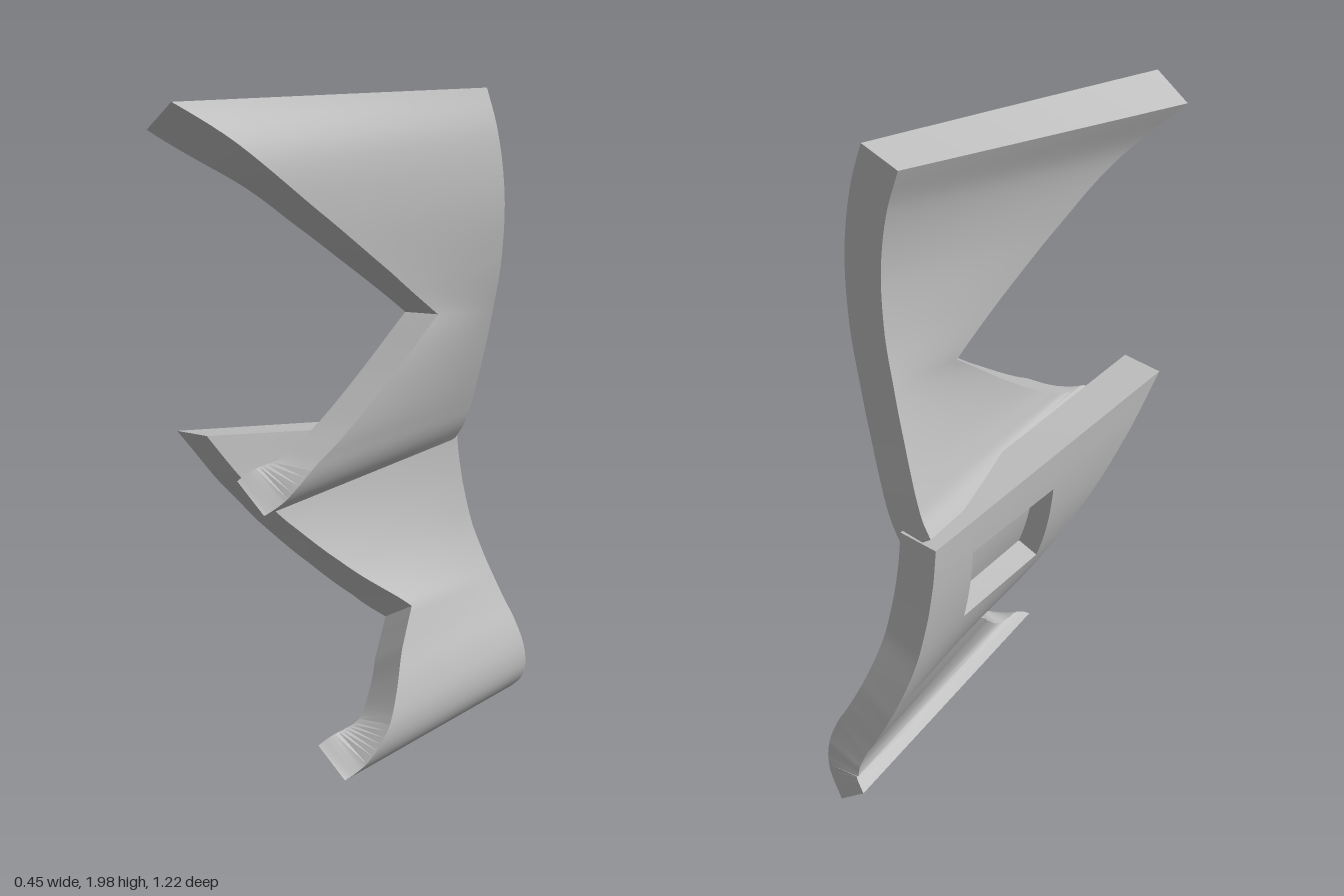
import * as THREE from 'three';
import { toCreasedNormals } from 'three/addons/utils/BufferGeometryUtils.js';

const HALF = 0.065;   // half the slab thickness
const ROWS = 50;      // steps from top to bottom
const COLS = 9;       // steps from back to front

// Centre line of one slab edge: smooth in x and y, straight runs in z so notches stay sharp
function edge(points) {
  const curve = new THREE.CatmullRomCurve3(points.map(p => new THREE.Vector3(...p)));
  return v => {
    const point = curve.getPoint(v);
    const s = v * (points.length - 1), k = Math.min(Math.floor(s), points.length - 2);
    point.z = THREE.MathUtils.lerp(points[k][2], points[k + 1][2], s - k);
    const t = curve.getTangent(v);
    return { point, normal: new THREE.Vector3(-t.y, t.x, 0).normalize() };
  };
}

// Thick twisted slab ruled between a back edge and a front edge, with an optional pocket on its -x face
function slab(name, material, backPoints, frontPoints, pocket) {
  const back = edge(backPoints), front = edge(frontPoints);
  const clamp = THREE.MathUtils.clamp;
  const grid = [];
  for (let j = 0; j <= ROWS; j++) {
    const b = back(j / ROWS), f = front(j / ROWS);
    const atZ = z => (z - b.point.z) / (f.point.z - b.point.z);
    const stops = pocket
      ? [0, clamp(atZ(pocket.z0), 0.05, 0.45), clamp(atZ(pocket.z1), 0.5, 0.9), 1]
      : [0, 1 / 3, 2 / 3, 1];
    const row = [];
    for (let i = 0; i <= COLS; i++) {
      const k = Math.min(Math.floor(i / 3), 2);
      const u = THREE.MathUtils.lerp(stops[k], stops[k + 1], i / 3 - k);
      row.push({
        point: b.point.clone().lerp(f.point, u),
        normal: b.normal.clone().lerp(f.normal, u).normalize(),
      });
    }
    grid.push(row);
  }

  const positions = [];
  const at = (j, i, side) =>
    grid[j][i].point.clone().addScaledVector(grid[j][i].normal, HALF * side);
  const quad = (a, b, c, d, flip) => {
    const order = flip ? [a, d, c, a, c, b] : [a, b, c, a, c, d];
    order.forEach(p => positions.push(p.x, p.y, p.z));
  };
  // Wall across the thickness along a row (faces up) or a column (faces forward)
  const rowWall = (j, i0, i1, outer, inner, flip) => {
    for (let i = i0; i < i1; i++)
      quad(at(j, i, outer), at(j, i, inner), at(j, i + 1, inner), at(j, i + 1, outer), flip);
  };
  const colWall = (i, j0, j1, outer, inner, flip) => {
    for (let j = j0; j < j1; j++)
      quad(at(j, i, outer), at(j, i, inner), at(j + 1, i, inner), at(j + 1, i, outer), flip);
  };

  // Broad faces, with the pocket floor set back
  for (let j = 0; j < ROWS; j++) {
    for (let i = 0; i < COLS; i++) {
      const sunk = pocket && j >= pocket.j0 && j < pocket.j1 && i >= 3 && i < 6;
      for (const side of [1, sunk ? 0.1 : -1])
        quad(at(j, i, side), at(j, i + 1, side), at(j + 1, i + 1, side), at(j + 1, i, side), side !== 1);
    }
  }
  // Rim
  rowWall(0, 0, COLS, 1, -1, false);
  rowWall(ROWS, 0, COLS, 1, -1, true);
  colWall(COLS, 0, ROWS, 1, -1, false);
  colWall(0, 0, ROWS, 1, -1, true);
  // Pocket walls
  if (pocket) {
    rowWall(pocket.j0, 3, 6, 0.1, -1, true);
    rowWall(pocket.j1, 3, 6, 0.1, -1, false);
    colWall(3, pocket.j0, pocket.j1, 0.1, -1, false);
    colWall(6, pocket.j0, pocket.j1, 0.1, -1, true);
  }

  const geometry = new THREE.BufferGeometry();
  geometry.setAttribute('position', new THREE.Float32BufferAttribute(positions, 3));
  const mesh = new THREE.Mesh(toCreasedNormals(geometry, 0.5), material);
  mesh.name = name;
  return mesh;
}

export function createModel() {
  const group = new THREE.Group();
  group.name = 'twistedSculpture';
  const grey = new THREE.MeshStandardMaterial({ color: 0xbcbcbc });
  grey.name = 'lightGrey';

  // Upper slab, notched at the front
  group.add(slab('upperSlab', grey,
    [[0.02, 1.97, -0.37], [0.06, 1.85, -0.375], [0.08, 1.68, -0.385], [0.065, 1.5, -0.395],
      [0.035, 1.36, -0.4], [-0.01, 1.2, -0.41], [-0.06, 1.06, -0.425], [-0.09, 0.99, -0.43],
      [-0.13, 0.935, -0.435]],
    [[-0.16, 1.95, 0.61], [-0.07, 1.82, 0.43], [-0.02, 1.67, 0.24], [0.015, 1.5, 0.02],
      [0.03, 1.36, -0.16], [0.042, 1.2, 0.06], [0.053, 1.06, 0.29], [0.05, 0.995, 0.42],
      [0.02, 0.95, 0.495]]));

  // Lower slab, notched at the front, with a sunken window on one side
  group.add(slab('lowerSlab', grey,
    [[-0.14, 0.95, -0.44], [-0.138, 0.85, -0.45], [-0.13, 0.74, -0.465], [-0.11, 0.6, -0.49],
      [-0.085, 0.5, -0.515], [-0.05, 0.4, -0.54], [-0.01, 0.31, -0.56], [0.025, 0.24, -0.575],
      [0.045, 0.17, -0.59], [0.04, 0.11, -0.6], [-0.005, 0.058, -0.613]],
    [[-0.16, 1.105, 0.545], [-0.145, 0.95, 0.43], [-0.12, 0.8, 0.3], [-0.07, 0.64, 0.14],
      [-0.02, 0.53, 0.02], [0.03, 0.45, -0.07], [0.085, 0.36, 0.03], [0.13, 0.28, 0.1],
      [0.155, 0.21, 0.16], [0.155, 0.165, 0.23], [0.13, 0.125, 0.31]],
    { z0: -0.29, z1: 0.06, j0: 5, j1: 14 }));

  return group;
}
